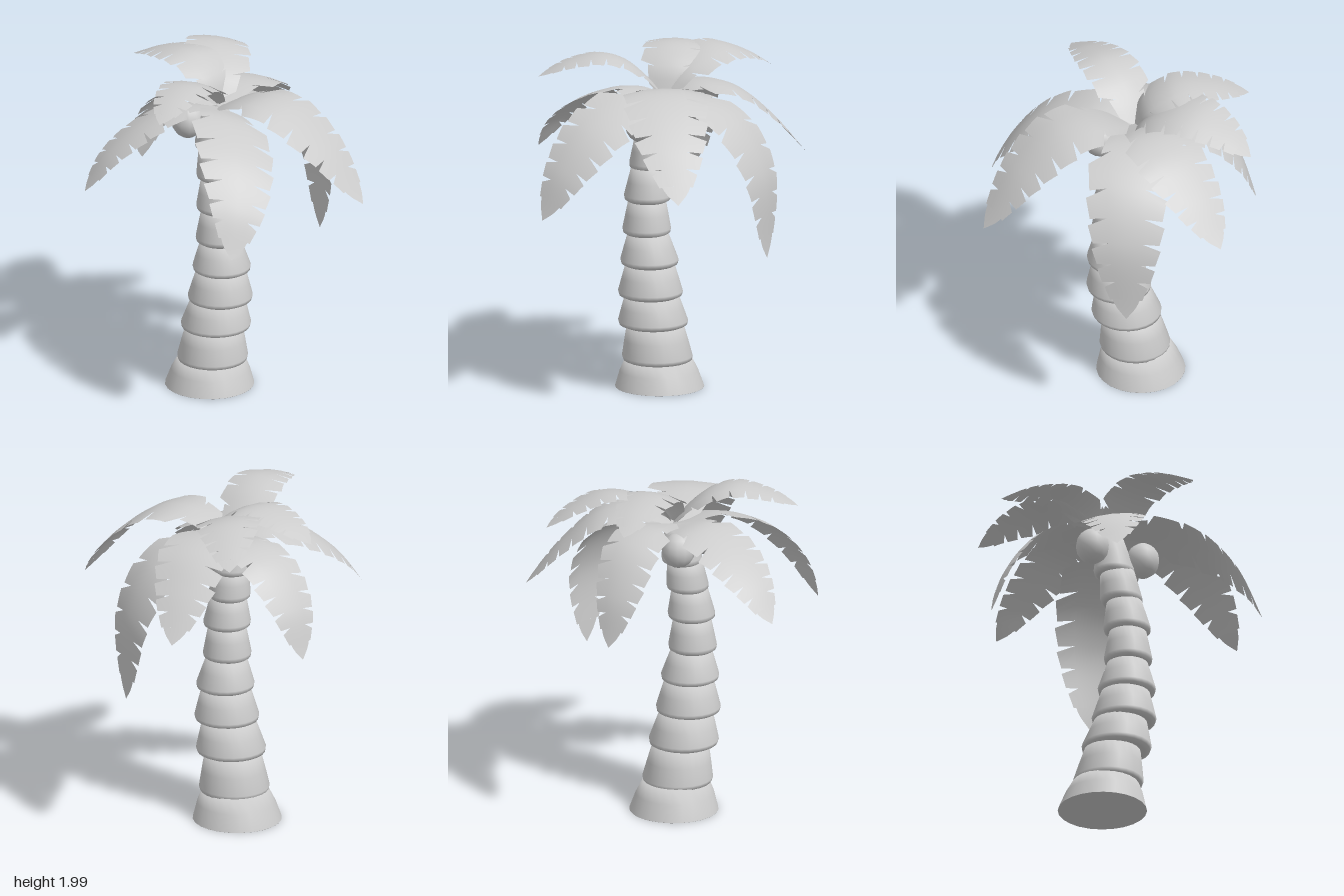
import * as THREE from 'three';
import { mergeVertices } from 'three/addons/utils/BufferGeometryUtils.js';

const grey = new THREE.MeshStandardMaterial({ color: 0xcccccc, side: THREE.DoubleSide });
grey.name = 'pale grey';

// Half-width of a leaf along its length, as a fraction of the widest point
const WIDTH = [[0, 0.28], [0.08, 0.55], [0.2, 0.9], [0.33, 1], [0.5, 0.97], [0.65, 0.84], [0.8, 0.62], [0.9, 0.36], [0.94, 0.27], [1, 0.0]];
function widthAt(t) {
  for (let i = 1; i < WIDTH.length; i++) {
    const [a, wa] = WIDTH[i - 1], [b, wb] = WIDTH[i];
    if (t <= b) return wa + (wb - wa) * (t - a) / (b - a);
  }
  return 0;
}

// Leaf blade: a curved midrib with swept teeth, cut by slits on both sides
const BREAKS = [0, 0.2, 0.38, 0.51, 0.62, 0.72, 0.81, 0.9, 1];
function leafGeometry(points, halfWidth, roll = 0) {
  const curve = new THREE.CatmullRomCurve3(points.map(p => new THREE.Vector3(...p)));
  const run = curve.getPoint(1).sub(curve.getPoint(0)).setY(0).normalize();
  const side = new THREE.Vector3(-run.z, roll, run.x).normalize();
  const pos = [], idx = [];
  const place = (t, offset) => {
    t = Math.min(t, 1);
    const normal = side.clone().cross(curve.getTangentAt(t)).normalize();
    const p = curve.getPointAt(t).addScaledVector(side, offset * halfWidth);
    p.addScaledVector(normal, -0.025 * offset * offset);
    pos.push(p.x, p.y, p.z);
  };
  const ROWS = 4;
  for (let k = 0; k < BREAKS.length - 1; k++) {
    const t0 = BREAKS[k], dt = BREAKS[k + 1] - t0, last = k === BREAKS.length - 2;
    const start = pos.length / 3;
    for (let j = 0; j <= ROWS; j++) {
      const u = j / ROWS, t = t0 + u * dt, w = widthAt(t);
      const tOut = last ? t : t0 + dt * (0.34 + 0.72 * u);
      const wOut = last ? w : widthAt(t0 + dt * (0.3 + 0.4 * u)) * (1.08 - 0.1 * u);
      const wIn = w * (last ? 0.6 : 0.5);
      place(tOut, -wOut);
      place(t, -wIn);
      place(t, 0);
      place(t, wIn);
      place(tOut, wOut);
    }
    for (let j = 0; j < ROWS; j++) for (let c = 0; c < 4; c++) {
      const a = start + j * 5 + c, b = a + 5;
      idx.push(a, a + 1, b, a + 1, b + 1, b);
    }
  }
  const g = new THREE.BufferGeometry();
  g.setAttribute('position', new THREE.Float32BufferAttribute(pos, 3));
  g.setIndex(idx);
  const merged = mergeVertices(g, 1e-4);
  merged.computeVertexNormals();
  return merged;
}

// Trunk rings: bottom height, centre x and z, bottom radius, top radius
const RINGS = [
  [0.00, -0.215, 0.025, 0.257, 0.19],
  [0.155, -0.19, 0.042, 0.204, 0.16],
  [0.375, -0.155, 0.075, 0.202, 0.15],
  [0.56, -0.115, 0.10, 0.187, 0.137],
  [0.75, -0.10, 0.108, 0.168, 0.112],
  [0.935, -0.105, 0.125, 0.140, 0.105],
  [1.13, -0.105, 0.12, 0.137, 0.10],
  [1.315, -0.13, 0.10, 0.122, 0.10],
  [1.49, -0.16, 0.07, 0.118, 0.075],
  [1.7, -0.17, 0.03, 0, 0],
];

// Leaves: midrib points from the crown to the tip, half-width, sideways tilt
const LEAVES = {
  lowerLeafLeft: [[[-0.15, 1.73, 0.04], [0.0, 1.81, 0.06], [0.15, 1.845, 0.08], [0.32, 1.81, 0.1], [0.56, 1.63, 0.12], [0.8, 1.32, 0.13]], 0.23],
  lowerLeafFrontLeft: [[[-0.17, 1.73, 0.04], [0.0, 1.75, 0.24], [0.17, 1.63, 0.5], [0.26, 1.41, 0.69], [0.28, 1.14, 0.82]], 0.22, 0.25],
  lowerLeafFrontRight: [[[-0.19, 1.73, 0.04], [-0.33, 1.76, 0.19], [-0.49, 1.68, 0.37], [-0.63, 1.53, 0.52], [-0.73, 1.33, 0.63]], 0.19, -0.15],
  lowerLeafRight: [[[-0.18, 1.73, 0.02], [-0.36, 1.76, -0.12], [-0.54, 1.69, -0.21], [-0.71, 1.46, -0.27], [-0.79, 1.18, -0.31]], 0.18],
  lowerLeafBack: [[[-0.17, 1.74, 0.03], [-0.15, 1.81, -0.18], [-0.14, 1.77, -0.41], [-0.17, 1.6, -0.62], [-0.2, 1.35, -0.83]], 0.21],
  lowerLeafBackLeft: [[[-0.17, 1.73, 0.02], [0.0, 1.74, -0.17], [0.14, 1.61, -0.36], [0.23, 1.33, -0.49], [0.24, 0.84, -0.51]], 0.22],
  upperLeafFront: [[[-0.18, 1.74, 0.02], [-0.19, 1.84, 0.1], [-0.2, 1.94, 0.22], [-0.2, 1.985, 0.37], [-0.21, 1.95, 0.56], [-0.21, 1.87, 0.74]], 0.165],
  upperLeafRight: [[[-0.17, 1.74, 0.02], [-0.21, 1.88, -0.02], [-0.31, 1.965, -0.07], [-0.42, 1.99, -0.1], [-0.62, 1.95, -0.17], [-0.8, 1.86, -0.22]], 0.17],
  upperLeafBack: [[[-0.17, 1.74, 0.0], [-0.21, 1.87, -0.09], [-0.27, 1.95, -0.22], [-0.34, 1.97, -0.37], [-0.43, 1.905, -0.54], [-0.5, 1.8, -0.69]], 0.185, -0.15],
};

export function createModel() {
  const tree = new THREE.Group();
  tree.name = 'palmTree';
  const add = (name, geometry, parent = tree) => {
    const mesh = new THREE.Mesh(geometry, grey);
    mesh.name = name;
    parent.add(mesh);
    return mesh;
  };

  // Trunk: flared rings, each leaning toward the next
  const trunk = new THREE.Group();
  trunk.name = 'trunk';
  tree.add(trunk);
  for (let i = 0; i < RINGS.length - 1; i++) {
    const [y, x, z, r, rTop] = RINGS[i], [yNext, xNext, zNext] = RINGS[i + 1];
    const h = yNext - y + 0.02;
    const foot = i ? [[0, 0], [r * 0.84, 0], [r * 0.97, 0.012], [r, 0.035]] : [[0, 0], [r, 0], [r, 0.001]];
    const profile = [...foot, [r * 0.55 + rTop * 0.45, h * 0.55], [rTop, h], [0, h]];
    const g = new THREE.LatheGeometry(profile.map(p => new THREE.Vector2(...p)), 24);
    const p = g.attributes.position;
    for (let k = 0; k < p.count; k++) {
      const f = 0.6 * p.getY(k) / h;
      p.setX(k, p.getX(k) + (xNext - x) * f);
      p.setZ(k, p.getZ(k) + (zNext - z) * f);
    }
    add('trunkRing', g, trunk).position.set(x, y, z);
  }

  // Coconuts under the crown
  for (const [x, y, z] of [[-0.335, 1.625, 0.06], [-0.03, 1.6, 0.17]]) {
    const nut = add('coconut', new THREE.SphereGeometry(0.097, 12, 8));
    nut.position.set(x, y, z);
    nut.scale.y = 1.08;
  }

  // Crown of leaves
  const crown = new THREE.Group();
  crown.name = 'crown';
  tree.add(crown);
  for (const [name, shape] of Object.entries(LEAVES)) add(name, leafGeometry(...shape), crown);

  return tree;
}
